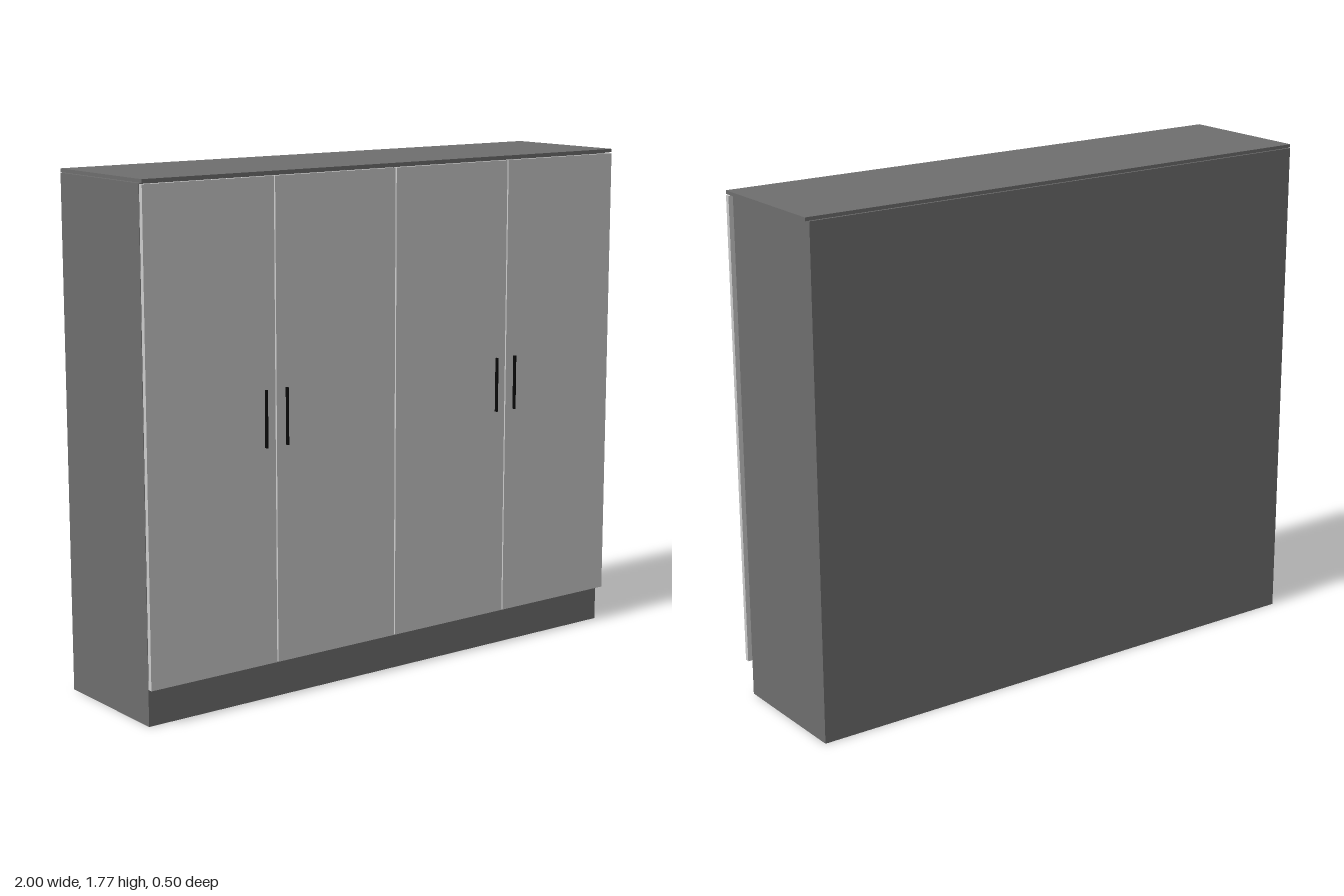
import * as THREE from 'three';

export function createModel() {
  const model = new THREE.Group();
  model.name = 'wardrobe';

  const doorMaterial = new THREE.MeshStandardMaterial({ color: 0xcccccc });
  const bodyMaterial = new THREE.MeshStandardMaterial({ color: 0x6e6e6e });
  const handleMaterial = new THREE.MeshStandardMaterial({ color: 0x080808 });

  // Box given by its lower and upper limits on each axis
  function addBox(name, [x0, x1], [y0, y1], [z0, z1], material) {
    const geometry = new THREE.BoxGeometry(x1 - x0, y1 - y0, z1 - z0);
    const mesh = new THREE.Mesh(geometry, material);
    mesh.position.set((x0 + x1) / 2, (y0 + y1) / 2, (z0 + z1) / 2);
    mesh.name = name;
    model.add(mesh);
  }

  // Carcass, whose lower front is the plinth, and the top that covers the doors
  addBox('carcass', [-1, 0.985], [0, 1.754], [-0.25, 0.225], bodyMaterial);
  addBox('topPanel', [-1, 1], [1.756, 1.768], [-0.25, 0.243], bodyMaterial);

  // Four doors with narrow gaps
  const gap = 0.005;
  for (let i = 0; i < 4; i++) {
    const left = -1 + i * 0.5;
    addBox(`door${i + 1}`,
      [left + (i > 0 ? gap / 2 : 0), left + 0.5 - (i < 3 ? gap / 2 : 0)],
      [0.125, 1.752], [0.227, 0.243], doorMaterial);
  }

  // Slim upright handles, in pairs either side of the outer door gaps
  [-0.542, -0.458, 0.456, 0.54].forEach((x, i) => {
    addBox(`handle${i + 1}`, [x - 0.003, x + 0.003], [0.865, 1.058], [0.243, 0.253], handleMaterial);
  });

  return model;
}
